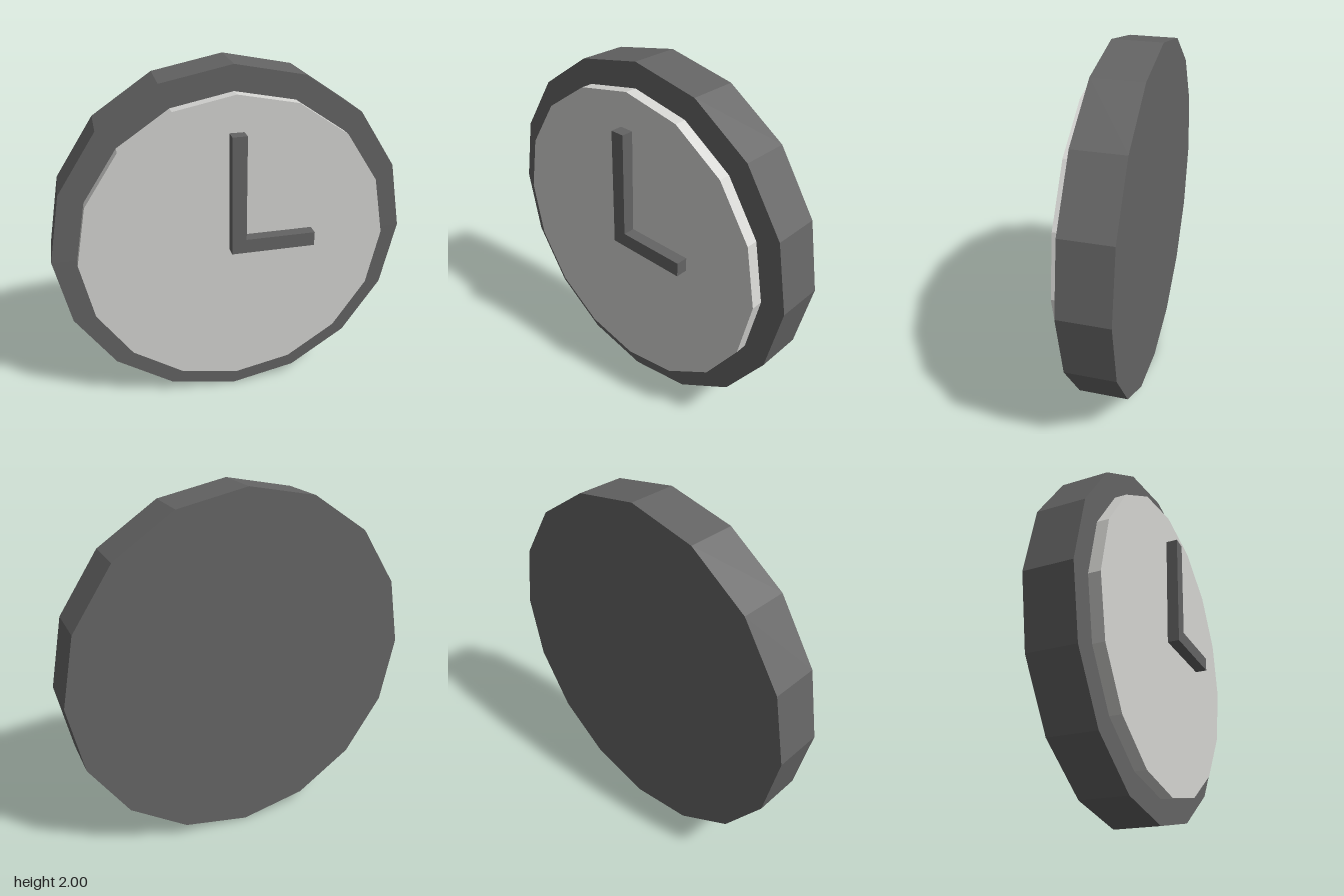
import * as THREE from 'three';

export function createModel() {
  const clock = new THREE.Group();
  clock.name = 'wallClock';

  const darkGrey = new THREE.MeshStandardMaterial({ color: 0x646464, flatShading: true });
  darkGrey.name = 'dark grey';
  const paleGrey = new THREE.MeshStandardMaterial({ color: 0xd5d5d2, flatShading: true });
  paleGrey.name = 'pale grey';

  // Sixteen-sided disc facing +z, spanning zBack to zFront
  const addDisc = (name, radius, zBack, zFront, material) => {
    const geometry = new THREE.CylinderGeometry(radius, radius, zFront - zBack, 16);
    geometry.rotateX(Math.PI / 2);
    const disc = new THREE.Mesh(geometry, material);
    disc.name = name;
    disc.position.set(0, 1, (zBack + zFront) / 2);
    clock.add(disc);
  };
  addDisc('case', 1, -0.2, 0.067, darkGrey);
  addDisc('dial', 0.864, 0.067, 0.133, paleGrey);

  // Both hands as one L-shaped piece, showing three o'clock
  const outline = new THREE.Shape([
    [-0.04, 1.0], [0.43, 1.0], [0.43, 1.08], [0.04, 1.08], [0.04, 1.667], [-0.04, 1.667],
  ].map(([x, y]) => new THREE.Vector2(x, y)));
  const hands = new THREE.Mesh(
    new THREE.ExtrudeGeometry(outline, { depth: 0.067, bevelEnabled: false }),
    darkGrey,
  );
  hands.name = 'hands';
  hands.position.z = 0.133;
  clock.add(hands);

  return clock;
}
